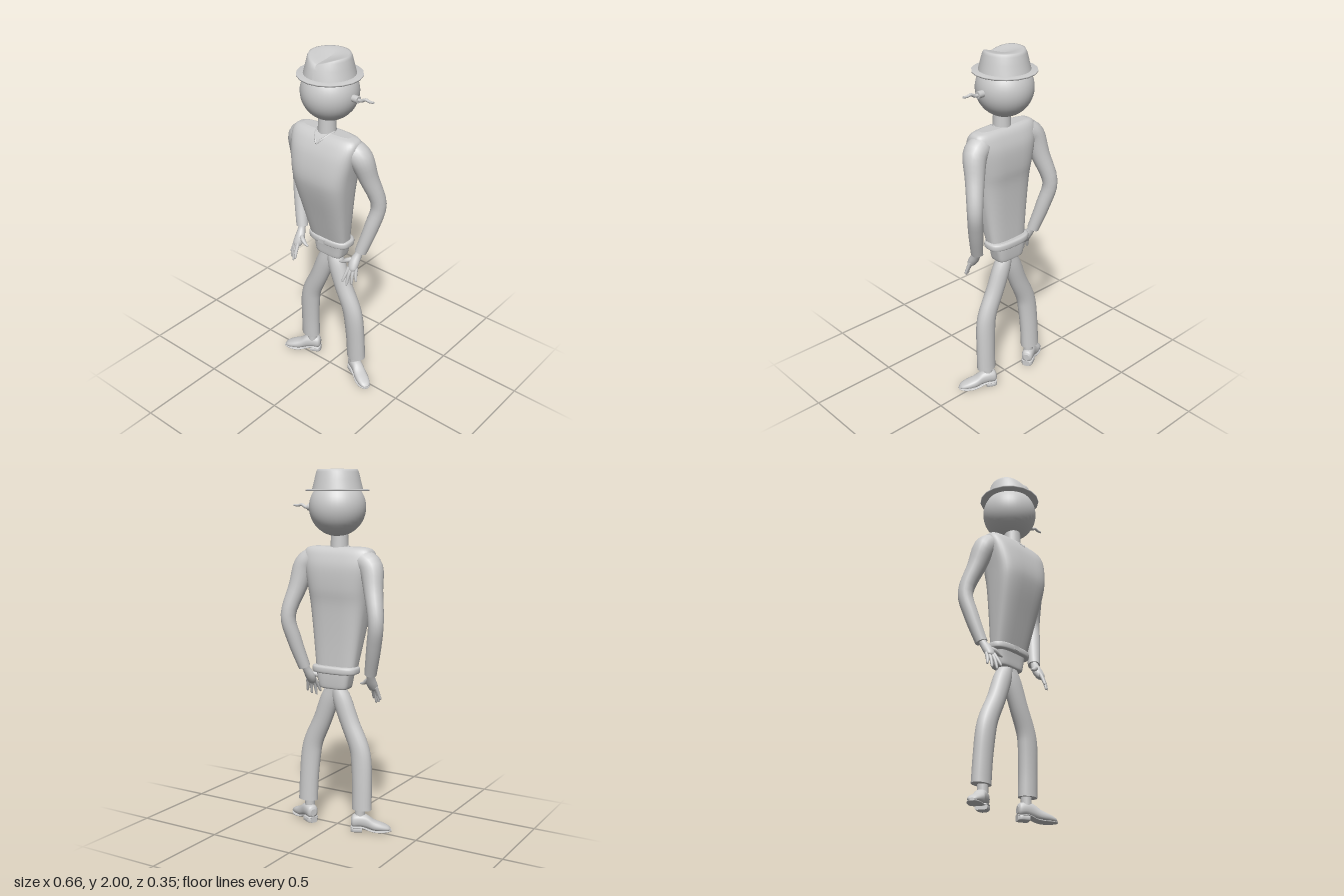
import * as THREE from 'three';

const material = new THREE.MeshStandardMaterial({ color: 0xcccccc, side: THREE.DoubleSide });
const Z = new THREE.Vector3(0, 0, 1);
const UP = new THREE.Vector3(0, 1, 0);

function mesh(name, geometry, parent) {
  const m = new THREE.Mesh(geometry, material);
  m.name = name;
  parent.add(m);
  return m;
}

// Smooth capped skin through stations [x, y, z, radiusU, radiusV].
// axis fixes the ring direction; power > 2 squares off the section.
function loft(stations, { axis = null, power = 2, sides = 20, steps = 4 } = {}) {
  const path = new THREE.CatmullRomCurve3(stations.map(s => new THREE.Vector3(s[0], s[1], s[2])));
  const size = new THREE.CatmullRomCurve3(stations.map(s => new THREE.Vector3(s[3], s[4] ?? s[3], 0)));
  path.curveType = size.curveType = 'catmullrom';
  const n = (stations.length - 1) * steps;
  const pos = [], index = [];
  const ring = i => {
    const c = path.getPoint(i / n), r = size.getPoint(i / n);
    const t = axis ?? path.getTangent(i / n);
    const u = new THREE.Vector3().crossVectors(Z, t).normalize();
    const v = new THREE.Vector3().crossVectors(t, u).normalize();
    for (let j = 0; j < sides; j++) {
      const a = j / sides * Math.PI * 2, ca = Math.cos(a), sa = Math.sin(a);
      const p = c.clone()
        .addScaledVector(u, r.x * Math.sign(ca) * Math.abs(ca) ** (2 / power))
        .addScaledVector(v, r.y * Math.sign(sa) * Math.abs(sa) ** (2 / power));
      pos.push(p.x, p.y, p.z);
    }
    return c;
  };
  for (let i = 0; i <= n; i++) ring(i);
  for (let i = 0; i < n; i++) {
    for (let j = 0; j < sides; j++) {
      const a = i * sides + j, b = i * sides + (j + 1) % sides;
      index.push(a, b, a + sides, b, b + sides, a + sides);
    }
  }
  // End caps have their own vertices so their edges stay crisp
  for (const end of [0, n]) {
    const start = pos.length / 3, c = ring(end), mid = pos.length / 3;
    pos.push(c.x, c.y, c.z);
    for (let j = 0; j < sides; j++) {
      const a = start + j, b = start + (j + 1) % sides;
      index.push(mid, end ? a : b, end ? b : a);
    }
  }
  const g = new THREE.BufferGeometry();
  g.setAttribute('position', new THREE.Float32BufferAttribute(pos, 3));
  g.setIndex(index);
  g.computeVertexNormals();
  return g;
}

const lathe = (profile, sides) =>
  new THREE.LatheGeometry(profile.map(p => new THREE.Vector2(p[0], p[1])), sides);

function addHat(parent) {
  const hat = new THREE.Group();
  hat.name = 'hat';
  parent.add(hat);
  mesh('hatBrim', lathe([[0.12, 1.885], [0.172, 1.885], [0.173, 1.893], [0.12, 1.897]], 18), hat);
  // Crown, pinched down towards the front
  const crown = lathe([[0.138, 1.893], [0.125, 1.945], [0.115, 1.985], [0.108, 1.999],
    [0.098, 2.0], [0.075, 1.998], [0.05, 1.995], [0.025, 1.993], [0, 1.992]], 36);
  const p = crown.attributes.position;
  for (let i = 0; i < p.count; i++) {
    const x = p.getX(i), y = p.getY(i), z = p.getZ(i);
    const high = THREE.MathUtils.smoothstep(y, 1.94, 1.99);
    const front = THREE.MathUtils.clamp((z + 0.06) / 0.17, 0, 1);
    p.setY(i, y - high * 0.034 * front * Math.max(0, 1 - Math.abs(x) / 0.1));
  }
  crown.computeVertexNormals();
  mesh('hatCrown', crown, hat);
}

function addEarpiece(parent) {
  const disc = mesh('earDisc', new THREE.CylinderGeometry(0.019, 0.019, 0.035, 16), parent);
  disc.rotation.z = Math.PI / 2;
  disc.position.set(0.17, 1.797, 0);
  mesh('earStem', loft([[0.18, 1.795, 0, 0.009], [0.205, 1.797, 0, 0.009],
    [0.23, 1.81, 0, 0.008], [0.255, 1.806, 0, 0.007], [0.282, 1.808, 0, 0.006]], { sides: 10 }), parent);
}

function addArm(parent, s, side) {
  const arm = new THREE.Group();
  arm.name = side + 'Arm';
  parent.add(arm);
  const limb = (name, pts, opt) =>
    mesh(name, loft(pts.map(([x, ...rest]) => [x * s, ...rest]), opt), arm);
  limb('sleeve', [[0.16, 1.515, 0.01, 0.065], [0.21, 1.475, 0, 0.066], [0.24, 1.36, -0.03, 0.053],
    [0.279, 1.2, -0.072, 0.043], [0.255, 1.06, -0.048, 0.041], [0.214, 0.9, -0.008, 0.034]]);
  limb('palm', [[0.214, 0.92, -0.01, 0.022], [0.208, 0.885, 0.005, 0.022, 0.022],
    [0.2, 0.845, 0.03, 0.03, 0.026], [0.203, 0.812, 0.05, 0.027, 0.022], [0.205, 0.8, 0.055, 0.018, 0.014]]);
  // Four spread fingers: knuckle x, z and tip x, y, z
  const fingers = [[0.223, 0.04, 0.238, 0.745, 0.062], [0.212, 0.047, 0.22, 0.728, 0.078],
    [0.2, 0.054, 0.197, 0.72, 0.092], [0.188, 0.06, 0.176, 0.74, 0.1]];
  for (const [kx, kz, tx, ty, tz] of fingers) {
    limb('finger', [[kx, 0.82, kz, 0.011], [(kx + tx) / 2, 0.78, (kz + tz) / 2 + 0.004, 0.0095],
      [tx, ty + 0.008, tz, 0.007], [tx, ty, tz, 0.003]], { sides: 8 });
  }
  limb('thumb', [[0.195, 0.86, 0.025, 0.013], [0.165, 0.85, 0.045, 0.014],
    [0.14, 0.833, 0.052, 0.01], [0.117, 0.828, 0.055, 0.005]], { sides: 8 });
}

function addLeg(parent, s, side) {
  const leg = new THREE.Group();
  leg.name = side + 'Leg';
  parent.add(leg);
  mesh('trouserLeg', loft([[0.012, 0.81, -0.018, 0.04, 0.042], [0.042, 0.735, -0.016, 0.054, 0.048],
    [0.09, 0.61, -0.014, 0.054, 0.048], [0.145, 0.49, -0.015, 0.057, 0.048], [0.165, 0.4, -0.018, 0.06, 0.048],
    [0.174, 0.26, -0.026, 0.058, 0.047], [0.177, 0.13, -0.032, 0.058, 0.047]]
    .map(([x, ...r]) => [x * s, ...r])), leg);
  const ankle = mesh('ankle', new THREE.CylinderGeometry(0.029, 0.029, 0.08, 16), leg);
  ankle.position.set(0.166 * s, 0.11, -0.032);

  // Shoe, laid out along its own toe-out direction: [length, y, halfHeight, halfWidth]
  const dir = new THREE.Vector3(0.88 * s, 0, 0.47).normalize();
  const shoePart = (name, rows, power) => mesh(name, loft(rows.map(([l, y, h, w]) =>
    [0.135 * s + dir.x * l, y, -0.053 + dir.z * l, h, w]), { axis: dir, power }), leg);
  shoePart('shoeUpper', [[-0.012, 0.06, 0.02, 0.018], [0, 0.062, 0.036, 0.032], [0.035, 0.066, 0.038, 0.035],
    [0.075, 0.058, 0.038, 0.034], [0.115, 0.038, 0.03, 0.038], [0.16, 0.028, 0.022, 0.037],
    [0.195, 0.02, 0.014, 0.027], [0.21, 0.015, 0.005, 0.012]], 2.4);
  shoePart('shoeSole', [[-0.014, 0.03, 0.005, 0.02], [0, 0.03, 0.005, 0.034], [0.05, 0.029, 0.005, 0.034],
    [0.09, 0.013, 0.005, 0.034], [0.13, 0.006, 0.005, 0.04], [0.17, 0.006, 0.005, 0.038],
    [0.2, 0.007, 0.005, 0.026], [0.214, 0.008, 0.004, 0.012]], 3);
  shoePart('shoeHeel', [[-0.014, 0.015, 0.015, 0.02], [0, 0.015, 0.015, 0.033],
    [0.025, 0.015, 0.015, 0.034], [0.05, 0.015, 0.015, 0.034]], 4);
}

export function createModel() {
  const figure = new THREE.Group();
  figure.name = 'figure';

  // Head and neck
  const head = mesh('head', new THREE.SphereGeometry(0.155, 36, 24), figure);
  head.position.y = 1.798;
  const neck = mesh('neck', new THREE.CylinderGeometry(0.046, 0.052, 0.14, 20), figure);
  neck.position.set(0, 1.61, 0.022);
  addHat(figure);
  addEarpiece(figure);

  // Torso rows: y, back z, front z, half width
  const rows = [[0.9, -0.06, 0.042, 0.12], [1.08, -0.06, 0.095, 0.145], [1.26, -0.066, 0.148, 0.17],
    [1.36, -0.078, 0.16, 0.184], [1.47, -0.078, 0.14, 0.203], [1.54, -0.06, 0.108, 0.212],
    [1.575, -0.04, 0.078, 0.198], [1.587, -0.018, 0.052, 0.16]];
  mesh('torso', loft(rows.map(([y, b, f, w]) => [0, y, (b + f) / 2, w, (f - b) / 2]),
    { axis: UP, power: 3.2, sides: 40 }), figure);
  // Collar edges meeting in a V
  for (const s of [1, -1]) {
    mesh('collarEdge', loft([[0.052 * s, 1.588, 0.025, 0.006], [0.042 * s, 1.58, 0.062, 0.006],
      [0.02 * s, 1.557, 0.095, 0.006], [0, 1.535, 0.11, 0.005]], { sides: 8 }), figure);
  }

  // Belt, buckle and hips
  mesh('belt', loft([[0, 0.89, -0.015, 0.125, 0.064], [0, 0.897, -0.015, 0.138, 0.075],
    [0, 0.923, -0.015, 0.138, 0.075], [0, 0.932, -0.015, 0.125, 0.064]],
    { axis: UP, power: 2.8, sides: 36 }), figure);
  const buckle = mesh('buckle', new THREE.BoxGeometry(0.04, 0.026, 0.012), figure);
  buckle.position.set(-0.01, 0.91, 0.06);
  mesh('hips', loft([[0, 0.805, -0.02, 0.08, 0.046], [0, 0.815, -0.02, 0.09, 0.053],
    [0, 0.86, -0.02, 0.1, 0.056], [0, 0.91, -0.018, 0.11, 0.058]],
    { axis: UP, power: 4, sides: 36 }), figure);

  for (const [s, side] of [[1, 'left'], [-1, 'right']]) {
    addArm(figure, s, side);
    addLeg(figure, s, side);
  }
  return figure;
}
